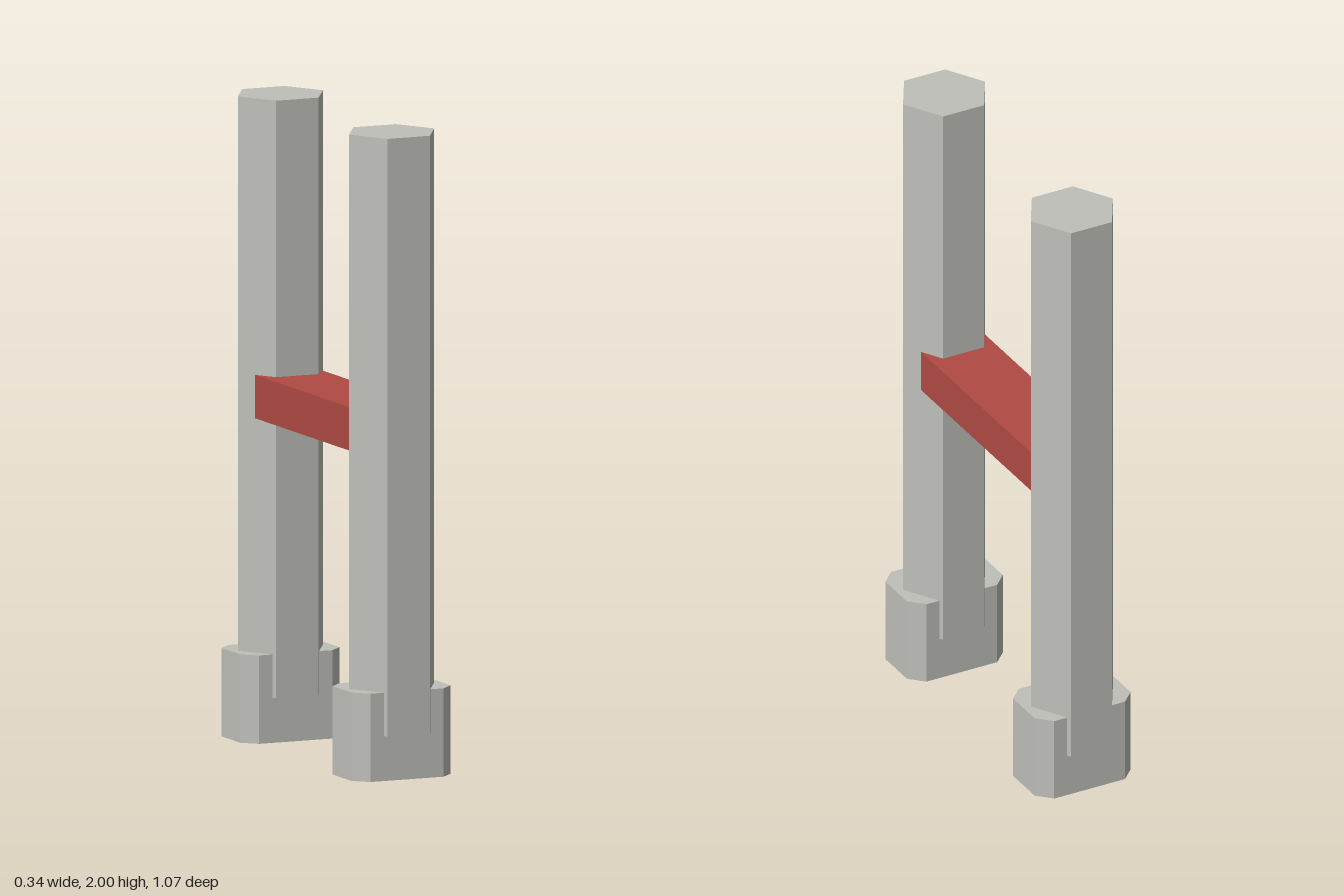
import * as THREE from 'three';

export function createModel() {
  const model = new THREE.Group();
  model.name = 'twinPostFrame';
  const grey = new THREE.MeshStandardMaterial({ color: 0xbfbfba, flatShading: true });
  grey.name = 'stone grey';
  const red = new THREE.MeshStandardMaterial({ color: 0xb14a44, flatShading: true });
  red.name = 'brick red';

  const add = (name, geometry, material, y, z) => {
    const mesh = new THREE.Mesh(geometry, material);
    mesh.name = name;
    mesh.position.set(0, y, z);
    model.add(mesh);
  };

  // Hexagonal post with flat sides towards front and back
  const postGeo = new THREE.CylinderGeometry(0.144, 0.144, 1.86, 6);
  postGeo.rotateY(Math.PI / 6);

  // Foot: a block with chamfered upright corners
  const hx = 0.168, hz = 0.113, c = 0.044;
  const outline = new THREE.Shape([
    [hx - c, -hz], [hx, c - hz], [hx, hz - c], [hx - c, hz],
    [c - hx, hz], [-hx, hz - c], [-hx, c - hz], [c - hx, -hz],
  ].map(([x, y]) => new THREE.Vector2(x, y)));
  const footGeo = new THREE.ExtrudeGeometry(outline, { depth: 0.275, bevelEnabled: false });
  footGeo.rotateX(-Math.PI / 2);

  for (const [side, s] of [['front', 1], ['back', -1]]) {
    add(side + 'Post', postGeo, grey, 1.07, s * 0.408);
    add(side + 'Foot', footGeo, grey, 0, s * 0.408);
  }

  // Crossbar let into both posts
  add('crossbar', new THREE.BoxGeometry(0.224, 0.135, 0.71), red, 1.072, 0);

  return model;
}
